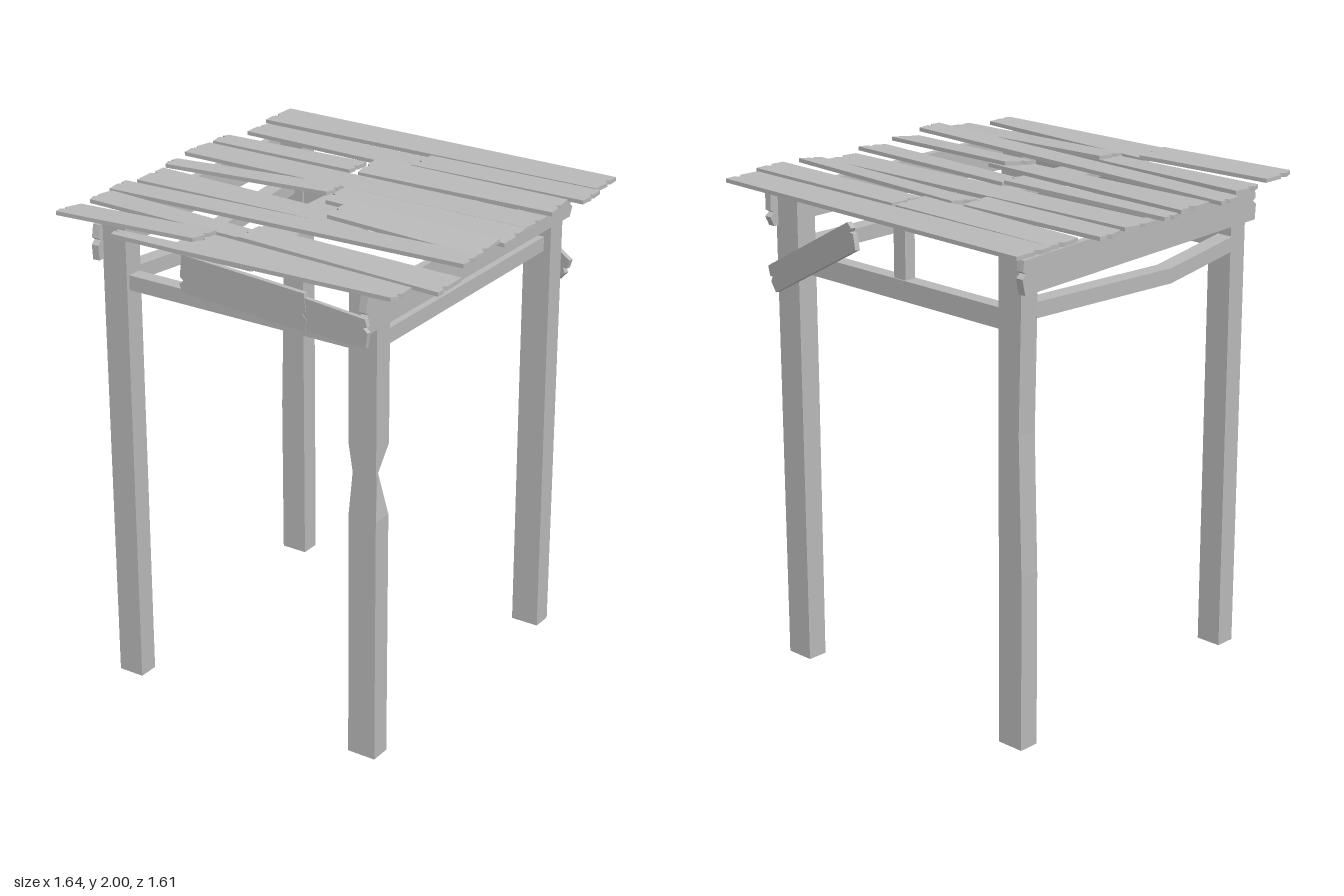
import * as THREE from 'three';

const wood = new THREE.MeshStandardMaterial({ color: 0xb8b8b8 });

let seed = 7;
const rand = () => (seed = (seed * 16807) % 2147483647) / 2147483647;
const lerp = THREE.MathUtils.lerp;

function mesh(name, geometry) {
  const m = new THREE.Mesh(geometry, wood);
  m.name = name;
  return m;
}

// Move every vertex by a rule and return a hard-edged geometry
function deform(geometry, rule) {
  const g = geometry.index ? geometry.toNonIndexed() : geometry;
  const p = g.attributes.position;
  const v = new THREE.Vector3();
  for (let i = 0; i < p.count; i++) {
    v.fromBufferAttribute(p, i);
    rule(v);
    p.setXYZ(i, v.x, v.y, v.z);
  }
  g.computeVertexNormals();
  return g;
}

// Long board outline with splintered ends; left and right are [low, high]
function boardGeometry(x0, x1, left, right, thickness) {
  const pts = [[x0 + rand() * 0.015, left[0]], [x1 - rand() * 0.02, right[0]]];
  const end = (x, lo, hi, dir) => {
    const t = 0.3 + rand() * 0.4;
    const h = hi - lo;
    return [
      [x, lo + h * (t - 0.12)],
      [x - dir * 0.02, lo + h * t],
      [x - dir * 0.003, lo + h * (t + 0.08)],
    ];
  };
  pts.push(...end(x1, right[0], right[1], 1));
  pts.push([x1 - rand() * 0.015, right[1]], [x0 + rand() * 0.02, left[1]]);
  pts.push(...end(x0, left[0], left[1], -1).reverse());
  const shape = new THREE.Shape(pts.map(([x, y]) => new THREE.Vector2(x, y)));
  return new THREE.ExtrudeGeometry(shape, { depth: thickness, bevelEnabled: false });
}

// Roof plank lying flat: z ranges at each end, base height at each end, sideways tilt
function plank(x0, x1, zl, zr, yl, yr, roll) {
  const g = boardGeometry(x0, x1, [-zl[1], -zl[0]], [-zr[1], -zr[0]], 0.016);
  g.rotateX(-Math.PI / 2);
  const zc = (zl[0] + zl[1] + zr[0] + zr[1]) / 4;
  return mesh('roofPlank', deform(g, (v) => {
    v.y += lerp(yl, yr, (v.x - x0) / (x1 - x0)) + roll * (v.z - zc);
  }));
}

// Post with rings at given heights; rule(v, sx, sz) shifts the corners
function post(name, x0, x1, z0, z1, heights, rule) {
  const g = new THREE.BoxGeometry(x1 - x0, 1, z1 - z0, 1, heights.length - 1, 1);
  g.translate((x0 + x1) / 2, 0.5, (z0 + z1) / 2);
  const xc = (x0 + x1) / 2, zc = (z0 + z1) / 2;
  return mesh(name, deform(g, (v) => {
    v.y = heights[Math.round(v.y * (heights.length - 1))];
    rule(v, Math.sign(v.x - xc), Math.sign(v.z - zc));
  }));
}

function box(name, x0, x1, y0, y1, z0, z1) {
  const g = new THREE.BoxGeometry(x1 - x0, y1 - y0, z1 - z0);
  g.translate((x0 + x1) / 2, (y0 + y1) / 2, (z0 + z1) / 2);
  return mesh(name, g);
}

export function createModel() {
  const model = new THREE.Group();
  model.name = 'woodenShelter';

  // Posts, one of them chipped at chest height
  model.add(
    post('frontLeftPost', 0.48, 0.6, 0.58, 0.665, [0, 1.02, 1.2, 1.31, 1.94], (v, sx, sz) => {
      if (v.y !== 1.2) return;
      if (sx > 0 && sz < 0) { v.x -= 0.025; v.z += 0.035; }
      if (sx < 0) v.x += 0.018;
    }),
    post('frontRightPost', -0.635, -0.525, 0.58, 0.665, [0, 1.94], () => {}),
    post('backLeftPost', 0.48, 0.6, -0.67, -0.585, [0, 1.2, 1.94], (v, sx, sz) => {
      if (v.y > 1 && sz > 0) v.z += 0.005;
    }),
    post('backRightPost', -0.7, -0.585, -0.67, -0.585, [0, 0.7, 1.25, 1.94], (v, sx) => {
      if (v.y === 1.25 && sx < 0) v.x += 0.015;
    }),
  );

  // Rails between the posts
  model.add(
    box('frontRail', -0.53, 0.49, 1.68, 1.74, 0.59, 0.65),
    box('backRail', -0.59, 0.49, 1.63, 1.71, -0.655, -0.595),
    box('leftRail', 0.5, 0.57, 1.68, 1.74, -0.59, 0.59),
  );
  const sagging = new THREE.BoxGeometry(0.07, 0.06, 1.18, 1, 1, 6);
  model.add(mesh('saggingRightRail', deform(sagging, (v) => {
    const peak = 0.2;
    const t = v.z > peak ? (0.59 - v.z) / (0.59 - peak) : (v.z + 0.59) / (0.59 + peak);
    v.x += lerp(-0.66, -0.605, (v.z + 0.59) / 1.18);
    v.y += 1.71 - 0.045 * t;
  })));

  // Ridge beam under the planks and its short support
  model.add(
    box('roofBeam', -0.1, 0.06, 1.915, 1.94, -0.64, 0.64),
    box('beamSupport', -0.09, -0.03, 1.7, 1.93, -0.65, -0.6),
  );

  // Side boards under the roof edge
  const leftBoard = boardGeometry(-0.77, 0.71, [1.8, 1.945], [1.8, 1.93], 0.03);
  leftBoard.rotateY(Math.PI / 2);
  leftBoard.translate(0.59, 0, 0);
  model.add(mesh('leftSideBoard', leftBoard));
  const rightBoard = boardGeometry(-0.7, 0.7, [1.79, 1.93], [1.79, 1.92], 0.03);
  rightBoard.rotateY(Math.PI / 2 + 0.05);
  rightBoard.translate(-0.695, 0, 0);
  model.add(mesh('rightSideBoard', rightBoard));

  // Loose front board in two overlapping lengths, swung outwards at one end
  const front = new THREE.Group();
  front.name = 'looseFrontBoard';
  front.add(
    mesh('wideLength', boardGeometry(0, 0.62, [1.75, 1.9], [1.755, 1.9], 0.02)),
    mesh('narrowLength', boardGeometry(0.5, 0.9, [1.755, 1.885], [1.765, 1.875], 0.018)),
  );
  front.position.set(-0.25, 0, 0.675);
  front.rotation.y = -0.11;
  model.add(front);

  // Hanging back board
  const hanging = mesh('hangingBackBoard',
    boardGeometry(-0.35, 0.35, [-0.055, 0.055], [-0.055, 0.055], 0.02));
  hanging.position.set(0.325, 1.735, -0.745);
  hanging.rotation.set(0, -0.2, -0.47);
  model.add(hanging);

  // Roof planks from back to front
  const planks = [
    [-0.79, 0.78, [-0.79, -0.61], [-0.77, -0.61], 1.95, 1.955, 0],
    [-0.77, 0.04, [-0.59, -0.45], [-0.58, -0.42], 1.945, 1.95, 0.03],
    [0.03, 0.81, [-0.59, -0.45], [-0.59, -0.45], 1.955, 1.96, 0],
    [-0.82, -0.14, [-0.38, -0.27], [-0.4, -0.27], 1.945, 1.95, 0.04],
    [-0.12, 0.77, [-0.43, -0.29], [-0.4, -0.28], 1.95, 1.965, -0.13],
    [-0.82, 0.76, [-0.24, -0.09], [-0.26, -0.11], 1.95, 1.945, 0],
    [-0.81, -0.04, [-0.02, 0.06], [-0.08, 0.02], 1.945, 1.965, 0],
    [-0.05, 0.78, [-0.08, 0.05], [-0.07, 0.08], 1.948, 1.955, -0.1],
    [-0.78, 0.26, [0.1, 0.27], [0.14, 0.25], 1.945, 1.945, 0],
    [0.09, 0.77, [0.09, 0.23], [0.11, 0.26], 1.972, 1.965, -0.12],
    [-0.81, 0.8, [0.3, 0.41], [0.29, 0.41], 1.945, 1.978, 0],
    [-0.78, 0.26, [0.44, 0.57], [0.49, 0.58], 1.955, 1.945, 0.02],
    [-0.06, 0.82, [0.47, 0.59], [0.46, 0.61], 1.962, 1.945, -0.05],
    [-0.77, -0.15, [0.64, 0.78], [0.59, 0.73], 1.965, 1.972, 0.08],
    [-0.17, 0.74, [0.6, 0.8], [0.65, 0.77], 1.95, 1.955, 0],
    [-0.5, 0.15, [0.74, 0.79], [0.7, 0.78], 1.942, 1.942, 0],
  ];
  planks.forEach((p) => model.add(plank(...p)));

  return model;
}
